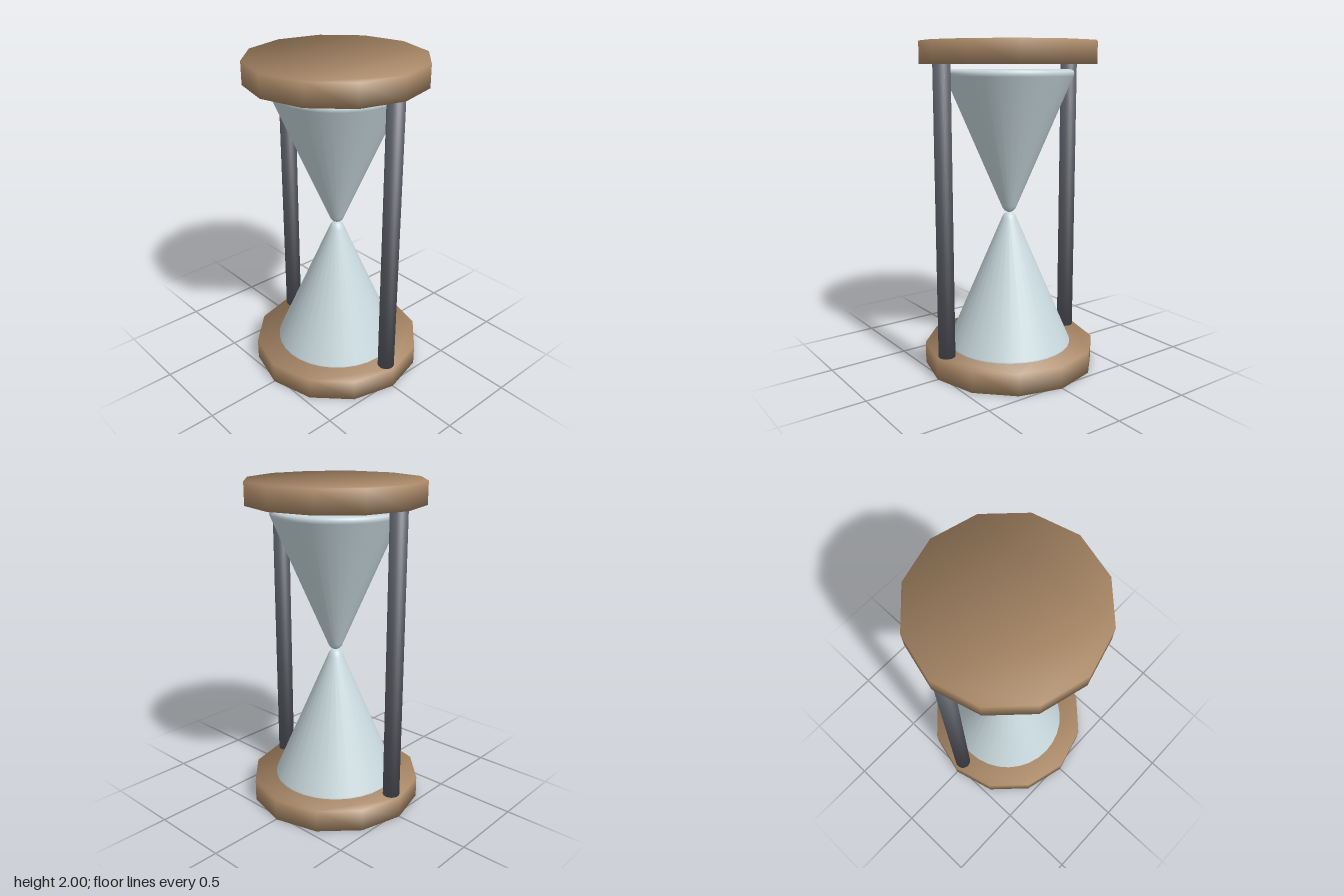
import * as THREE from 'three';

const material = (name, color) => {
  const m = new THREE.MeshStandardMaterial({ color });
  m.name = name;
  return m;
};

// Upright prism with sides blended softly into its two flat ends
function softPrism(radius, height, sides) {
  const corners = [];
  for (let i = 0; i < sides; i++) {
    const a = (i / sides) * Math.PI * 2;
    corners.push(new THREE.Vector2(Math.cos(a) * radius, Math.sin(a) * radius));
  }
  const geo = new THREE.ExtrudeGeometry(new THREE.Shape(corners), { depth: height, bevelEnabled: false });
  geo.rotateX(-Math.PI / 2).translate(0, -height / 2, 0);
  const pos = geo.attributes.position;
  const n = new THREE.Vector3();
  for (let i = 0; i < pos.count; i++) {
    n.set(pos.getX(i) / radius, Math.sign(pos.getY(i)) * 0.87, pos.getZ(i) / radius).normalize();
    geo.attributes.normal.setXYZ(i, n.x, n.y, n.z);
  }
  return geo;
}

export function createModel() {
  const model = new THREE.Group();
  model.name = 'hourglass';
  const wood = material('brown wood', 0xa98866);
  const metal = material('dark grey metal', 0x5b5e67);
  const glass = material('pale blue glass', 0xc9d9de);

  const add = (name, geo, mat, x, y) => {
    const mesh = new THREE.Mesh(geo, mat);
    mesh.name = name;
    mesh.position.set(x, y, 0);
    model.add(mesh);
    return mesh;
  };

  // Twelve-sided end plates
  const plate = softPrism(0.533, 0.134, 12);
  add('bottomPlate', plate, wood, 0, 0.067);
  add('topPlate', plate, wood, 0, 1.933);

  // Side posts, sunk into both plates
  const post = softPrism(0.051, 1.8, 32);
  add('leftPost', post, metal, 0.465, 1);
  add('rightPost', post, metal, -0.465, 1);

  // Conical bulbs meeting tip to tip, with a rounded tip and rim
  const profile = [
    [0, 0], [0.015, 0.002], [0.028, 0.009], [0.039, 0.022], [0.048, 0.042],
    [0.384, 0.828], [0.387, 0.842], [0.384, 0.855], [0.372, 0.865], [0, 0.865],
  ].map(([r, y]) => new THREE.Vector2(r, y));
  const bulb = new THREE.LatheGeometry(profile, 32);
  add('upperBulb', bulb, glass, 0, 0.97);
  add('lowerBulb', bulb, glass, 0, 0.97).rotation.x = Math.PI;

  return model;
}
